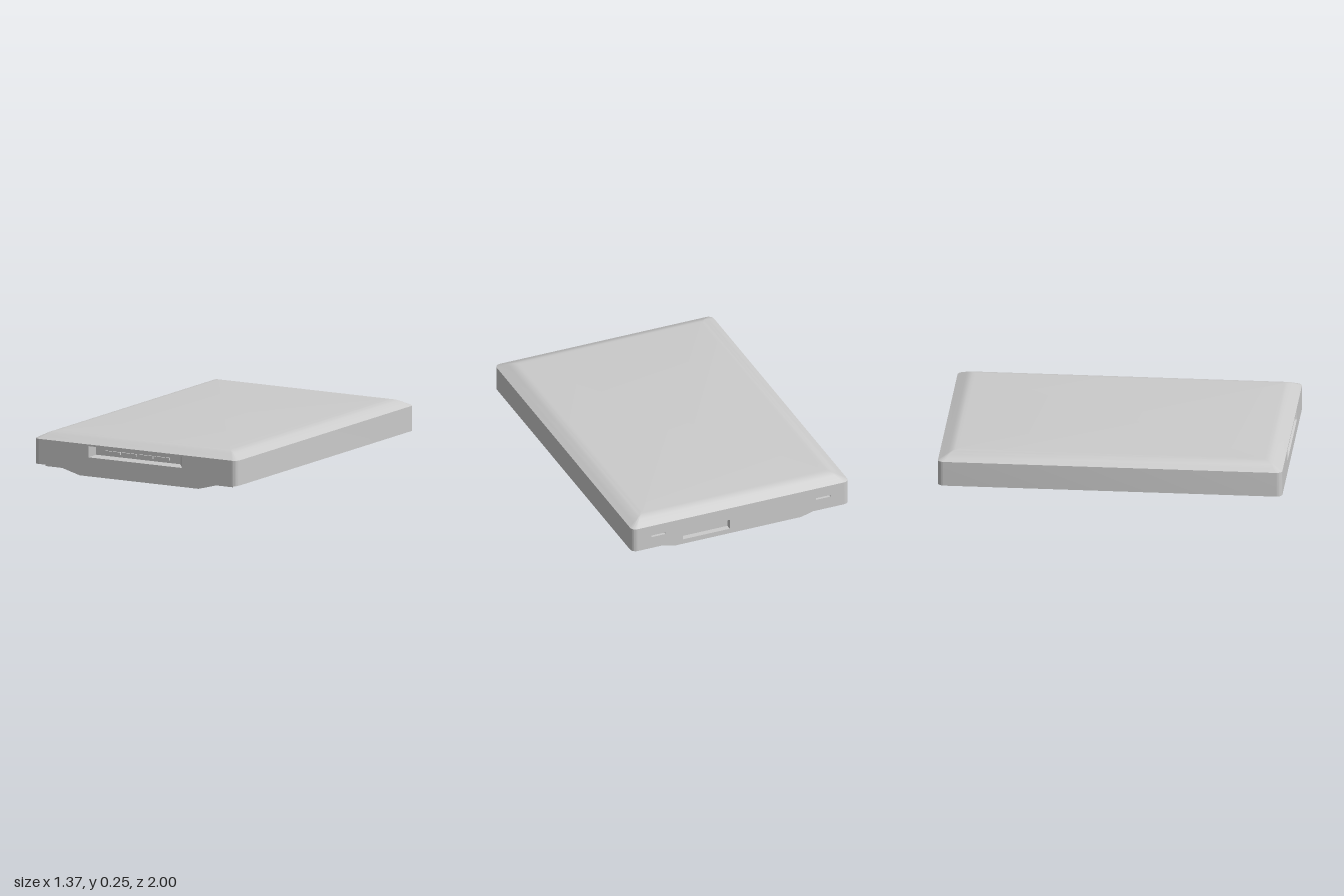
import * as THREE from 'three';
import { toCreasedNormals } from 'three/addons/utils/BufferGeometryUtils.js';

const W = 0.685, L = 1, R = 0.035;      // half width, half length, corner radius
const Y0 = 0.065, Y1 = 0.213;           // bottom and top of the body
const grey = new THREE.MeshStandardMaterial({ color: 0xcccccc });

function add(parent, name, geometry) {
  const mesh = new THREE.Mesh(geometry, grey);
  mesh.name = name;
  parent.add(mesh);
  return mesh;
}

function rect(target, x0, y0, x1, y1) {
  target.moveTo(x0, y0).lineTo(x1, y0).lineTo(x1, y1).lineTo(x0, y1).closePath();
  return target;
}

// Plan of the body: rounded corners, with the end faces set back for the end panels
function coreGeometry() {
  const w = W - R, l = L - R, h = Math.PI / 2;
  const s = new THREE.Shape();
  s.moveTo(W, -l).lineTo(W, l).absarc(w, l, R, 0, h);
  s.lineTo(w, l).lineTo(-w, l).lineTo(-w, L).absarc(-w, l, R, h, 2 * h);
  s.lineTo(-W, -l).absarc(-w, -l, R, 2 * h, 3 * h);
  s.lineTo(-w, -l).lineTo(w, -l).lineTo(w, -L).absarc(w, -l, R, 3 * h, 4 * h);
  const g = new THREE.ExtrudeGeometry(s, { depth: Y1 - Y0, bevelEnabled: false, curveSegments: 8 });
  return toCreasedNormals(g.rotateX(-Math.PI / 2).translate(0, Y0, 0), 0.5);
}

// End panel with openings, each [x0, y0, x1, y1]
function panelGeometry(openings) {
  const s = rect(new THREE.Shape(), -(W - R), Y0, W - R, Y1);
  for (const o of openings) s.holes.push(rect(new THREE.Path(), ...o));
  return new THREE.ExtrudeGeometry(s, { depth: R, bevelEnabled: false }).translate(0, 0, L - R);
}

// Lid: rounded rectangles stacked along a bevel profile and capped
function lidGeometry() {
  const profile = [[0, Y1], [0.03, 0.228], [0.055, 0.241], [0.067, 0.2465],
    [0.08, 0.251], [0.094, 0.2538], [0.11, 0.255]];
  const steps = 6, n = 4 * (steps + 1), pos = [], idx = [];
  for (const [inset, y] of profile) {
    const r = Math.max(R - inset * 0.4, 0.008);
    for (let k = 0; k < 4; k++) {
      const mid = (k + 0.5) * Math.PI / 2;
      const cx = Math.sign(Math.cos(mid)) * (W - inset - r);
      const cz = Math.sign(Math.sin(mid)) * (L - inset - r);
      for (let i = 0; i <= steps; i++) {
        const a = (k + i / steps) * Math.PI / 2;
        pos.push(cx + r * Math.cos(a), y, cz + r * Math.sin(a));
      }
    }
  }
  const last = (profile.length - 1) * n, centre = profile.length * n;
  pos.push(0, 0.255, 0);
  for (let j = 0; j < n; j++) {
    const k = (j + 1) % n;
    for (let i = 0; i < last; i += n) {
      idx.push(i + j, i + n + j, i + k, i + k, i + n + j, i + n + k);
    }
    idx.push(centre, last + k, last + j);
  }
  const g = new THREE.BufferGeometry();
  g.setAttribute('position', new THREE.Float32BufferAttribute(pos, 3));
  g.setIndex(idx);
  return toCreasedNormals(g, 0.5);
}

export function createModel() {
  const model = new THREE.Group();
  model.name = 'flatbedScanner';

  add(model, 'body', coreGeometry());
  add(model, 'lid', lidGeometry());

  // Front panel: the button recess narrows towards its back
  const front = panelGeometry([[-0.315, 0.137, 0.315, 0.203]]);
  const p = front.attributes.position;
  for (let i = 0; i < p.count; i++) {
    if (p.getZ(i) < L - R / 2 && Math.abs(p.getX(i)) < 0.4) {
      p.setX(i, p.getX(i) * 0.285 / 0.315);
      if (p.getY(i) < 0.15) p.setY(i, 0.15);
    }
  }
  front.computeVertexNormals();
  add(model, 'frontPanel', front);

  // Row of buttons in the recess
  const buttons = new THREE.Group();
  buttons.name = 'buttons';
  for (let i = 0; i < 4; i++) {
    add(buttons, 'button', new THREE.BoxGeometry(0.1, 0.016, 0.02))
      .position.set(-0.167 + i * 0.11, 0.173, L - R);
  }
  model.add(buttons);

  // Back panel: connector recess and two slots
  const back = panelGeometry([
    [-0.365, 0.075, -0.07, 0.135],
    [-0.565, 0.138, -0.475, 0.149],
    [0.475, 0.138, 0.565, 0.149],
  ]);
  add(model, 'backPanel', back.rotateY(Math.PI));

  // Base with sloping sides
  const b = new THREE.Shape();
  b.moveTo(-0.632, 0.07).lineTo(-0.632, 0.047).lineTo(-0.52, 0.047).lineTo(-0.4, 0.015);
  b.lineTo(0.4, 0.015).lineTo(0.52, 0.047).lineTo(0.632, 0.047).lineTo(0.632, 0.07);
  add(model, 'base', new THREE.ExtrudeGeometry(b, { depth: 1.91, bevelEnabled: false })
    .translate(0, 0, -0.955));

  // Oblong feet
  const f = new THREE.Shape();
  f.absarc(0, 0.032, 0.02, 0, Math.PI).absarc(0, -0.032, 0.02, Math.PI, 2 * Math.PI);
  const foot = toCreasedNormals(
    new THREE.ExtrudeGeometry(f, { depth: 0.018, bevelEnabled: false, curveSegments: 8 })
      .rotateX(-Math.PI / 2), 0.6);
  for (const x of [-0.303, 0.303]) {
    for (const z of [-0.823, 0.823]) add(model, 'foot', foot).position.set(x, 0, z);
  }
  return model;
}
